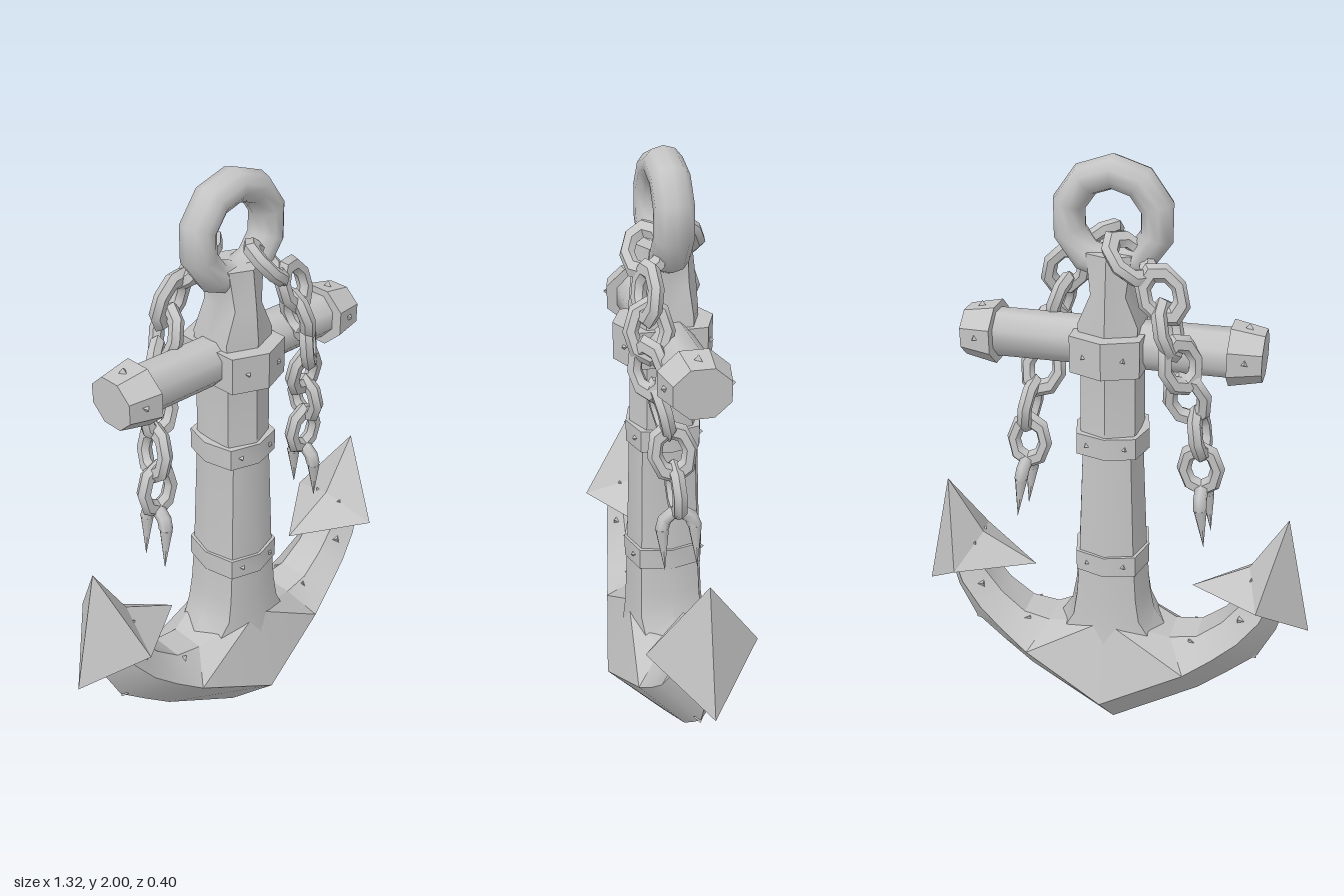
import * as THREE from 'three';
import { toCreasedNormals } from 'three/addons/utils/BufferGeometryUtils.js';

const iron = new THREE.MeshStandardMaterial({ color: 0xc4c4c4 });
iron.name = 'iron grey';

function part(name, geometry, parent) {
  const mesh = new THREE.Mesh(geometry, iron);
  mesh.name = name;
  parent.add(mesh);
  return mesh;
}

// Closed solid from triangles given as points; turned outward by its signed volume
function solid(tris, crease) {
  let volume = 0;
  for (const [a, b, c] of tris) volume += a.dot(b.clone().cross(c));
  const pts = tris.flatMap(([a, b, c]) => (volume < 0 ? [a, c, b] : [a, b, c]));
  return toCreasedNormals(new THREE.BufferGeometry().setFromPoints(pts), crease);
}

// Skin over a row of cross-sections; each quad is split along its shorter diagonal
function loft(sections, crease = 0.5) {
  const s = sections.map(ring => ring.map(p => new THREE.Vector3(...p)));
  const n = s[0].length, last = s.length - 1, tris = [];
  for (let i = 0; i < last; i++) {
    for (let j = 0; j < n; j++) {
      const k = (j + 1) % n;
      const [a, b, c, d] = [s[i][j], s[i + 1][j], s[i + 1][k], s[i][k]];
      if (a.distanceTo(c) < b.distanceTo(d)) tris.push([a, b, c], [a, c, d]);
      else tris.push([a, b, d], [b, c, d]);
    }
  }
  for (let j = 1; j < n - 1; j++) {
    tris.push([s[0][0], s[0][j], s[0][j + 1]], [s[last][0], s[last][j + 1], s[last][j]]);
  }
  return solid(tris, crease);
}

// Eight-sided section with a ridge at the front and back; a and b place the corners between
const ridgedSection = ([y, hx, hz, a = 0.78, b = 0.76]) => [
  [0, y, hz], [hx * a, y, hz * b], [hx, y, 0], [hx * a, y, -hz * b],
  [0, y, -hz], [-hx * a, y, -hz * b], [-hx, y, 0], [-hx * a, y, hz * b],
];

function addRivet(parent, pos, dir) {
  const rivet = part('rivet', new THREE.ConeGeometry(0.02, 0.022, 3).toNonIndexed(), parent);
  rivet.geometry.computeVertexNormals();
  rivet.position.set(...pos);
  rivet.quaternion.setFromUnitVectors(new THREE.Vector3(0, 1, 0), new THREE.Vector3(...dir).normalize());
}

function addBody(parent) {
  // Shank, flaring into the crown; boxier above the middle band
  const levels = [
    [0.36, 0.22, 0.152, 0.8, 0.6], [0.43, 0.185, 0.14, 0.8, 0.65], [0.5, 0.142, 0.132], [0.58, 0.127, 0.128],
    [0.72, 0.115, 0.122], [1.13, 0.097, 0.11], [1.18, 0.09, 0.108, 0.96, 0.66], [1.38, 0.088, 0.105, 0.96, 0.66],
    [1.52, 0.095, 0.108, 0.96, 0.66], [1.61, 0.055, 0.1, 0.96, 0.66], [1.73, 0.07, 0.085, 0.96, 0.66],
  ];
  part('shank', loft(levels.map(ridgedSection), 0.7), parent);

  // Curved arms: keel, side ridge and top edge as [x, y, z]
  const half = [
    [[0, 0.003], [0, 0.21, 0.198], [0, 0.5, 0.12]],
    [[0.3, 0.19], [0.27, 0.34, 0.145], [0.21, 0.43, 0.06]],
    [[0.4, 0.275], [0.36, 0.405, 0.125], [0.3, 0.445, 0.055]],
    [[0.5, 0.365], [0.44, 0.475, 0.11], [0.38, 0.51, 0.05]],
    [[0.555, 0.48], [0.505, 0.56, 0.095], [0.44, 0.59, 0.048]],
    [[0.585, 0.6], [0.54, 0.65, 0.075], [0.475, 0.685, 0.04]],
  ];
  const section = (side) => ([k, r, t]) => [
    [side * k[0], k[1], 0], [side * r[0], r[1], r[2]], [side * t[0], t[1], t[2]],
    [side * t[0], t[1], -t[2]], [side * r[0], r[1], -r[2]],
  ];
  const left = half.map(section(1));
  const right = half.slice(1).map(section(-1)).reverse();
  part('arms', loft([...right, ...left], 0.45), parent);
}

function addFluke(parent, side) {
  const v = (x, y, z) => new THREE.Vector3(side * x, y, z);
  const tip = v(0.57, 0.9, 0), heel = v(0.66, 0.493, 0), barb = v(0.27, 0.61, 0);
  const brow = v(0.455, 0.71, 0), hollow = v(0.53, 0.65, 0);
  const tris = [];
  for (const z of [0.172, -0.172]) {
    const wing = v(0.5, 0.645, z);
    const faces = [[tip, wing, heel], [tip, brow, wing], [brow, barb, wing], [wing, barb, hollow], [heel, wing, hollow]];
    for (const [a, b, c] of faces) tris.push(z > 0 ? [a, b, c] : [a, c, b]);
  }
  part(side > 0 ? 'leftFluke' : 'rightFluke', solid(tris, 0.2), parent);
  for (const z of [1, -1]) addRivet(parent, [side * 0.47, 0.69, z * 0.05], [-side * 0.4, 0.7, z * 0.6]);
}

function addStock(parent) {
  // Crossbar with capped ends
  const bar = new THREE.CylinderGeometry(0.075, 0.075, 0.8, 8, 1, false, Math.PI / 8).rotateZ(Math.PI / 2);
  part('crossbar', toCreasedNormals(bar, 0.9), parent).position.y = 1.445;
  for (const side of [1, -1]) {
    const cap = new THREE.CylinderGeometry(0.08, 0.1, 0.1, 8, 1, false, Math.PI / 8);
    cap.rotateZ(-side * Math.PI / 2).scale(1, 0.97, 1.12);
    part('crossbarCap', toCreasedNormals(cap, 0.5), parent).position.set(side * 0.41, 1.445, 0);
    for (const z of [1, -1]) addRivet(parent, [side * 0.41, 1.45, z * 0.095], [side * 0.1, 0, z]);
    addRivet(parent, [side * 0.41, 1.53, 0], [side * 0.1, 1, 0]);
  }
}

function addBands(parent) {
  // Riveted bands round the shank: bottom, top, half width, half depth, corner placement
  const bands = [
    [0.68, 0.75, 0.122, 0.13, 0.8, 0.77], [1.1, 1.17, 0.117, 0.12, 0.8, 0.77], [1.38, 1.495, 0.11, 0.155, 0.97, 0.72],
  ];
  for (const [y0, y1, hx, hz, a, b] of bands) {
    part('band', loft([ridgedSection([y0, hx, hz, a, b]), ridgedSection([y1, hx, hz, a, b])], 0.6), parent);
    for (const x of [-0.06, 0.06]) {
      for (const z of [1, -1]) {
        const depth = hz * (1 - (1 - b) * Math.abs(x) / (hx * a));
        addRivet(parent, [x, (y0 + y1) / 2, z * depth], [x * 4, 0, z]);
      }
    }
  }
}

function linkGeometry() {
  return toCreasedNormals(new THREE.TorusGeometry(0.053, 0.023, 6, 8).scale(1, 1.33, 1), 0.75);
}

// Hanging broken link: half a loop with two tapering prongs
function addBrokenLink(parent) {
  const link = new THREE.Group();
  link.name = 'brokenLink';
  part('bend', new THREE.TorusGeometry(0.05, 0.022, 6, 5, Math.PI), link);
  for (const x of [-0.05, 0.05]) {
    const prong = part('prong', new THREE.ConeGeometry(0.022, 0.14, 6).rotateX(Math.PI), link);
    prong.position.set(x, -0.07, 0);
  }
  parent.add(link);
  return link;
}

function addChain(parent, name, turn) {
  const chain = new THREE.Group();
  chain.name = name;
  chain.rotation.y = turn;
  parent.add(chain);
  // Each link: x, y, z and roll about the run of the chain
  const links = [
    [0.065, 1.73, 0.07, 1.1], [0.165, 1.635, 0.085, 0.3], [0.185, 1.53, 0.085, 1.4], [0.225, 1.43, 0.095, 0.7],
    [0.243, 1.31, 0.065, 0], [0.282, 1.19, 0.04, 1.5], [0.287, 1.065, 0.03, 0], [0.3, 0.945, 0.025, 1.5],
  ];
  const at = i => new THREE.Vector3(...links[Math.max(0, Math.min(links.length - 1, i))].slice(0, 3));
  links.forEach(([x, y, z, roll], i) => {
    const last = i === links.length - 1;
    const link = last ? addBrokenLink(chain) : part('chainLink', linkGeometry(), chain);
    const up = at(i - 1).sub(at(i + 1)).normalize();
    const face = new THREE.Vector3(0, 0, 1).addScaledVector(up, -up.z).normalize();
    const across = up.clone().cross(face);
    link.quaternion.setFromRotationMatrix(new THREE.Matrix4().makeBasis(across, up, face));
    link.rotateY(roll);
    link.position.set(x, y, z);
  });
}

export function createModel() {
  const anchor = new THREE.Group();
  anchor.name = 'anchor';
  addBody(anchor);
  addStock(anchor);
  addBands(anchor);
  for (const side of [1, -1]) {
    addFluke(anchor, side);
    // Studs along the arms
    for (const z of [1, -1]) {
      addRivet(anchor, [side * 0.28, 0.43, z * 0.065], [-side * 0.5, 0.8, z * 0.5]);
      addRivet(anchor, [side * 0.44, 0.55, z * 0.075], [-side * 0.5, 0.5, z * 0.7]);
    }
    addRivet(anchor, [side * 0.49, 0.36, 0], [side * 0.6, -0.7, 0]);
  }
  // Top ring
  const ring = new THREE.TorusGeometry(0.136, 0.05, 10, 10).rotateZ(Math.PI / 10).scale(1, 1, 1.18);
  part('ring', ring, anchor).position.y = 1.82;
  // Chains: one falls in front of the crossbar, the other behind
  addChain(anchor, 'leftChain', 0);
  addChain(anchor, 'rightChain', Math.PI);
  return anchor;
}
